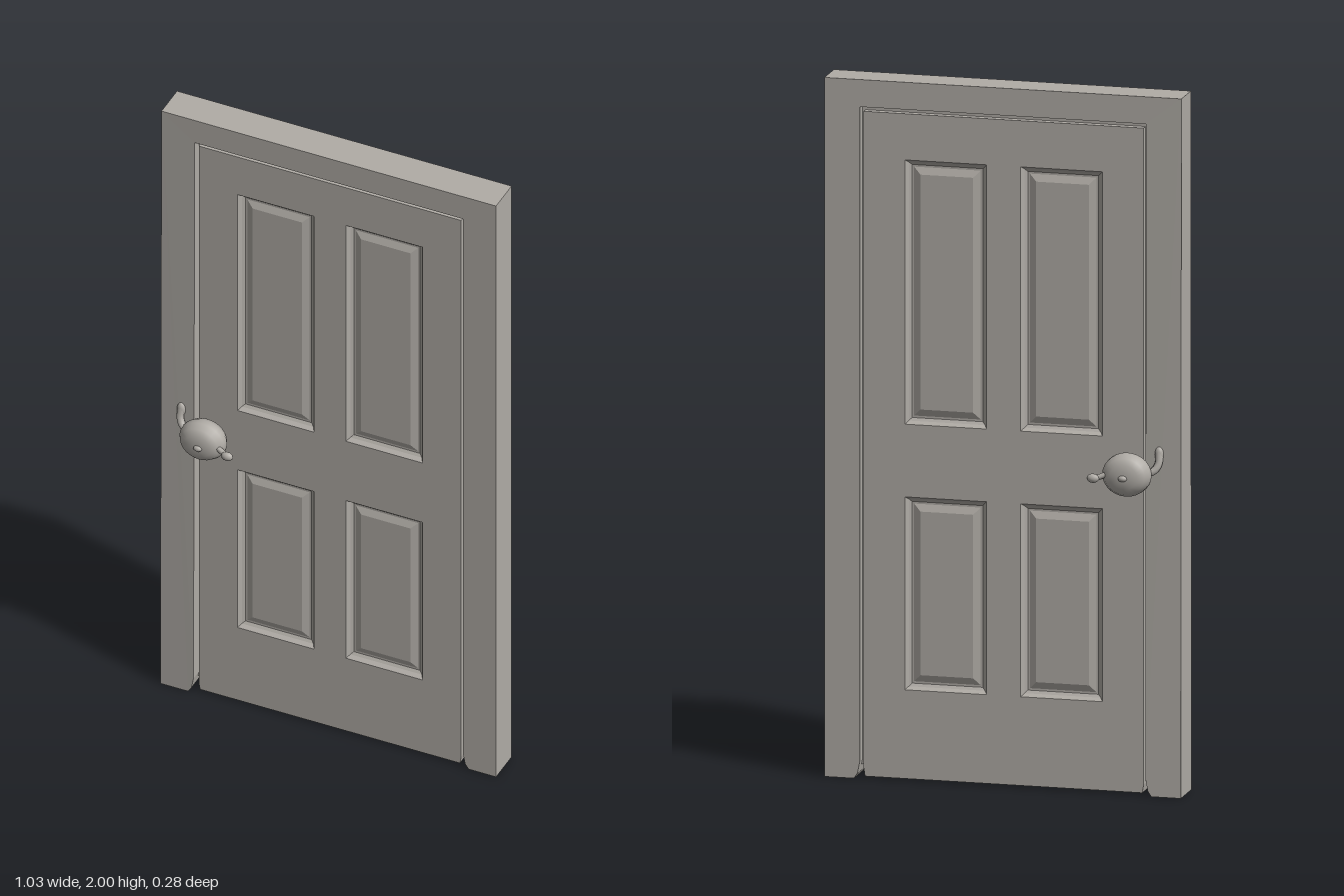
import * as THREE from 'three';

const HALF_FRAME = 0.051, HALF_DOOR = 0.043;
const gray = new THREE.MeshStandardMaterial({ color: 0xb0aca6 });
gray.name = 'warm gray';

function add(parent, geometry, name) {
  const mesh = new THREE.Mesh(geometry, gray);
  mesh.name = name;
  parent.add(mesh);
  return mesh;
}

// Flat extrusion of an outline, centred on z = 0
function slab(points, half, holes = []) {
  const shape = new THREE.Shape(points.map(([x, y]) => new THREE.Vector2(x, y)));
  for (const [x, y, w, h] of holes) {
    const hole = new THREE.Path();
    hole.moveTo(x - w / 2, y - h / 2).lineTo(x - w / 2, y + h / 2);
    hole.lineTo(x + w / 2, y + h / 2).lineTo(x + w / 2, y - h / 2).closePath();
    shape.holes.push(hole);
  }
  const g = new THREE.ExtrudeGeometry(shape, { depth: half * 2, bevelEnabled: false });
  return g.translate(0, 0, -half);
}

// Moulded panel made of nested rectangles: [inset, height] steps, then a cap
function mouldedPanel(w, h) {
  const steps = [[0, 0], [0.008, -0.012], [0.016, -0.018], [0.022, -0.018], [0.042, -0.010]];
  const loops = steps.map(([i, z]) => [[-1, -1], [1, -1], [1, 1], [-1, 1]]
    .map(([sx, sy]) => [sx * (w / 2 - i), sy * (h / 2 - i), z]));
  const p = [];
  const quad = (a, b, c, d) => p.push(...a, ...b, ...c, ...a, ...c, ...d);
  for (let s = 0; s < loops.length - 1; s++) {
    for (let k = 0; k < 4; k++) {
      const n = (k + 1) % 4;
      quad(loops[s][k], loops[s][n], loops[s + 1][n], loops[s + 1][k]);
    }
  }
  quad(...loops[loops.length - 1]);
  const g = new THREE.BufferGeometry();
  g.setAttribute('position', new THREE.Float32BufferAttribute(p, 3));
  g.computeVertexNormals();
  return g;
}

// Rounded knob with a small tail and a curved catch; s = 1 front, -1 back
function knob(s) {
  const group = new THREE.Group();
  group.name = s > 0 ? 'frontKnob' : 'backKnob';

  const profile = [[0, 0.05], [0.036, 0.053], [0.058, 0.064], [0.067, 0.083],
    [0.066, 0.1], [0.056, 0.118], [0.038, 0.129], [0.014, 0.132], [0, 0.132]]
    .map(([r, z]) => new THREE.Vector2(r, z));
  const body = new THREE.LatheGeometry(profile, 28).rotateX(s * Math.PI / 2);
  body.scale(1.04, 0.92, 1).translate(-0.368, 0.925, 0);
  add(group, body, 'knobBody');

  const stem = new THREE.CylinderGeometry(0.026, 0.03, 0.03, 20).rotateX(Math.PI / 2);
  add(group, stem, 'knobStem').position.set(-0.375, 0.925, s * 0.048);

  const nub = new THREE.SphereGeometry(1, 12, 8).scale(0.013, 0.009, 0.009);
  add(group, nub, 'knobNub').position.set(-0.366, 0.922, s * 0.132);

  const tube = (pts, r, name) => add(group, new THREE.TubeGeometry(
    new THREE.CatmullRomCurve3(pts.map(([x, y, z]) => new THREE.Vector3(x, y, s * z))),
    12, r, 8), name);
  tube([[-0.32, 0.93, 0.11], [-0.295, 0.92, 0.117], [-0.273, 0.915, 0.123]], 0.008, 'tailNeck');
  const tip = new THREE.SphereGeometry(1, 12, 8).scale(0.018, 0.013, 0.012);
  add(group, tip, 'tailTip').position.set(-0.279, 0.917, s * 0.124);

  tube([[-0.452, 0.985, 0.055], [-0.452, 0.955, 0.062], [-0.44, 0.935, 0.07],
    [-0.41, 0.925, 0.078]], 0.011, 'catch');
  const end = new THREE.SphereGeometry(1, 12, 8).scale(0.013, 0.022, 0.011);
  add(group, end, 'catchEnd').position.set(-0.452, 0.98, s * 0.055);
  return group;
}

export function createModel() {
  const model = new THREE.Group();
  model.name = 'panelledDoor';
  const core = new THREE.Group();
  core.name = 'doorAssembly';
  core.position.z = -0.006;
  model.add(core);

  // Frame open at the bottom, its left-hand post slightly thicker at the foot
  const frame = slab([[-0.515, 0], [-0.43, 0], [-0.42, 0.015], [-0.413, 0.05], [-0.413, 1.922],
    [0.413, 1.922], [0.413, 0.05], [0.42, 0.015], [0.43, 0], [0.515, 0], [0.515, 2], [-0.515, 2]],
  HALF_FRAME);
  const pos = frame.attributes.position;
  for (let i = 0; i < pos.count; i++) {
    if (pos.getX(i) < -0.4 && pos.getY(i) < 0.1) pos.setZ(i, pos.getZ(i) * 1.14);
  }
  frame.computeVertexNormals();
  add(core, frame, 'frame');

  // Stop strip closing the gap between frame and leaf
  add(core, slab([[-0.42, 0.035], [0.42, 0.035], [0.42, 1.93], [-0.42, 1.93]], 0.022), 'doorStop');

  // Door leaf with four moulded panels on each face
  const panels = [];
  for (const side of [-1, 1]) {
    panels.push([side * 0.167, 1.398, 0.236, 0.756], [side * 0.167, 0.536, 0.236, 0.552]);
  }
  add(core, slab([[-0.4, 0.006], [0.4, 0.006], [0.404, 0.03], [0.404, 1.908],
    [-0.404, 1.908], [-0.404, 0.03]], HALF_DOOR, panels), 'doorLeaf');
  for (const [x, y, w, h] of panels) {
    for (const s of [1, -1]) {
      const panel = add(core, mouldedPanel(w, h), s > 0 ? 'frontPanel' : 'backPanel');
      panel.position.set(x, y, s * HALF_DOOR);
      if (s < 0) panel.rotation.y = Math.PI;
    }
  }

  // Knobs on both faces
  core.add(knob(1), knob(-1));
  return model;
}
